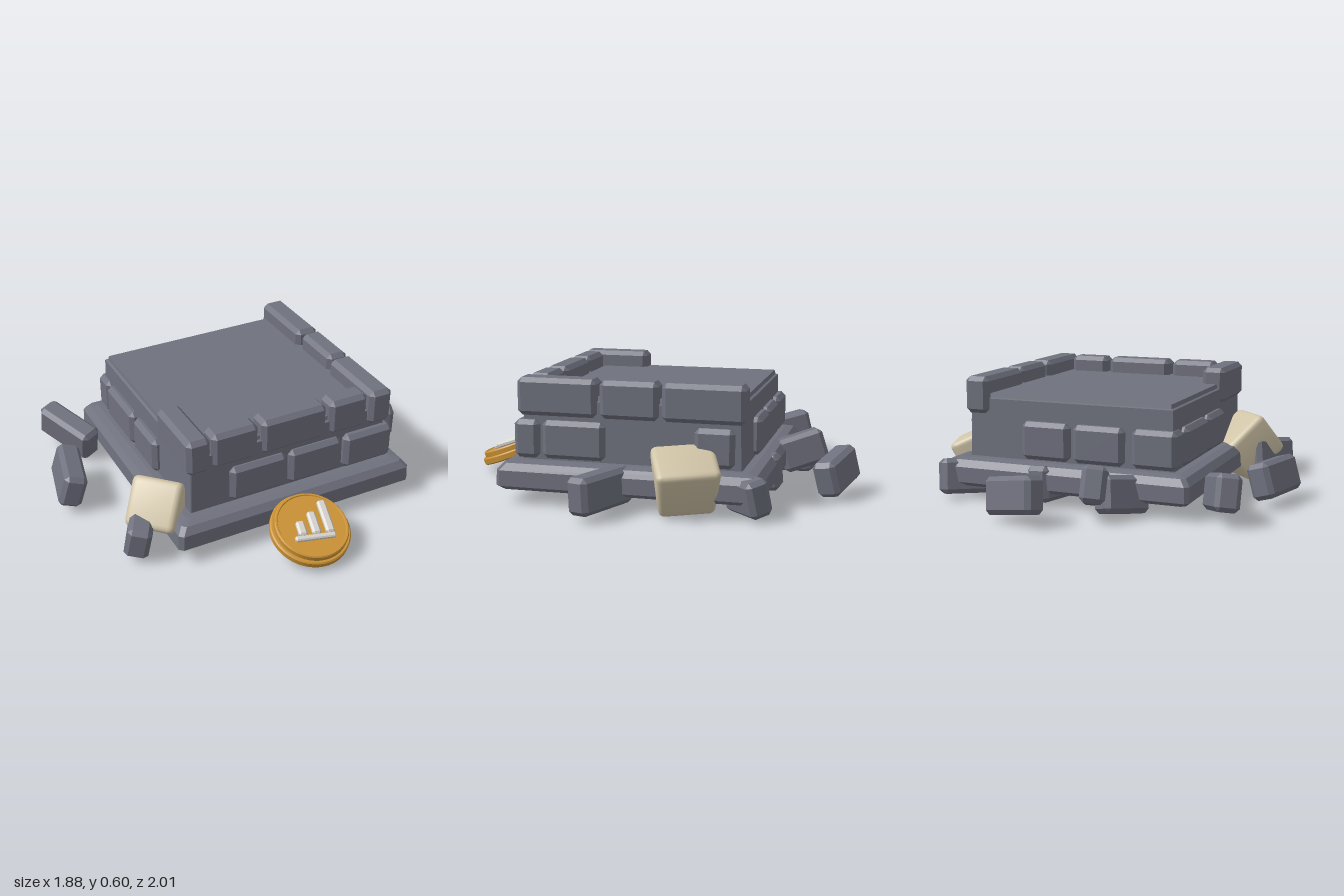
import * as THREE from 'three';
import { mergeVertices, toCreasedNormals } from 'three/addons/utils/BufferGeometryUtils.js';
import { RoundedBoxGeometry } from 'three/addons/geometries/RoundedBoxGeometry.js';
import { ConvexGeometry } from 'three/addons/geometries/ConvexGeometry.js';

const material = (name, color) => {
  const m = new THREE.MeshStandardMaterial({ color });
  m.name = name;
  return m;
};

// Box with single flat cuts along edges and corners
function chamferBox(w, h, d, r = 0.022) {
  const points = [];
  const x = w / 2, y = h / 2, z = d / 2;
  for (const sx of [-1, 1]) for (const sy of [-1, 1]) for (const sz of [-1, 1]) {
    points.push(
      new THREE.Vector3(sx * x, sy * (y - r), sz * (z - r)),
      new THREE.Vector3(sx * (x - r), sy * y, sz * (z - r)),
      new THREE.Vector3(sx * (x - r), sy * (y - r), sz * z),
    );
  }
  return new ConvexGeometry(points);
}

// Stack of squares with cut corners, each row [inset, y]; flat faces
function squareStack(cx, cz, half, cut, rows) {
  // sign of x and z, and which of the two is shortened by the cut
  const corners = [
    [-1, 1, 0, 1], [-1, 1, 1, 0], [1, 1, 1, 0], [1, 1, 0, 1],
    [1, -1, 0, 1], [1, -1, 1, 0], [-1, -1, 1, 0], [-1, -1, 0, 1],
  ];
  const pt = (i, j) => {
    const [inset, y] = rows[i], [sx, sz, kx, kz] = corners[j % 8];
    const size = (k) => Math.max(0, half - inset - k * cut);
    return [cx + sx * size(kx), y, cz + sz * size(kz)];
  };
  const pos = [];
  for (let i = 0; i < rows.length - 1; i++) {
    for (let j = 0; j < 8; j++) {
      const a = pt(i, j), b = pt(i, j + 1), c = pt(i + 1, j + 1), d = pt(i + 1, j);
      pos.push(...a, ...b, ...c, ...a, ...c, ...d);
    }
  }
  const g = new THREE.BufferGeometry();
  g.setAttribute('position', new THREE.Float32BufferAttribute(pos, 3));
  g.computeVertexNormals();
  return g;
}

// Soft-edged boulder, narrowed towards its base
function boulder(w, h, d, taper) {
  const g = new RoundedBoxGeometry(w, h, d, 2, 0.03);
  g.deleteAttribute('uv');
  g.deleteAttribute('normal');
  const p = g.attributes.position;
  for (let i = 0; i < p.count; i++) {
    const k = 1 + taper * p.getY(i);
    p.setXYZ(i, p.getX(i) * k, p.getY(i), p.getZ(i) * k);
  }
  return toCreasedNormals(mergeVertices(g, 1e-4), 0.5);
}

const lathe = (points) => toCreasedNormals(
  new THREE.LatheGeometry(points.map(([x, y]) => new THREE.Vector2(x, y)), 48), 0.5);

export function createModel() {
  const model = new THREE.Group();
  model.name = 'ruinedPedestal';
  const slate = material('slate', 0x6f717e);
  const sand = material('sandstone', 0xcfc3a6);
  const gold = material('gold', 0xcc9335);
  const darkGold = material('darkGold', 0x644610);
  const silver = material('silver', 0xd8d5cf);

  const add = (parent, name, geometry, mat, pos = [0, 0, 0], rot = [0, 0, 0]) => {
    const m = new THREE.Mesh(geometry, mat);
    m.name = name;
    m.position.set(...pos);
    m.rotation.set(...rot, 'YXZ');
    parent.add(m);
  };

  // Plinth frame, hollow underneath
  add(model, 'plinth', squareStack(0.07, 0.02, 0.64, 0.02, [
    [0.64, 0.12], [0.11, 0.12], [0.075, 0.08], [0.025, 0.08], [0, 0.1],
    [0.003, 0.175], [0.03, 0.208], [0.07, 0.217], [0.64, 0.217],
  ]), slate);

  // Core with a slightly smaller top step
  add(model, 'core', squareStack(0.07, 0.02, 0.535, 0.004, [
    [0, 0.2], [0.008, 0.505], [0.02, 0.51], [0.024, 0.53], [0.535, 0.53],
  ]), slate);

  // Wall bricks as extents [x0, x1, z0, z1] for each course
  const courses = [
    ['upperBrick', 0.43, 0.612, [
      [-0.48, -0.36, 0.21, 0.57], [-0.35, -0.11, 0.45, 0.565], [-0.09, 0.26, 0.445, 0.565],
      [0.28, 0.49, 0.45, 0.565], [0.5, 0.625, 0.18, 0.575], [0.51, 0.625, -0.12, 0.165],
      [0.5, 0.625, -0.53, -0.135],
    ]],
    ['lowerBrick', 0.225, 0.41, [
      [-0.26, 0.04, 0.46, 0.58], [0.055, 0.345, 0.46, 0.58], [0.36, 0.635, 0.465, 0.59],
      [0.51, 0.63, 0.14, 0.45], [0.51, 0.63, -0.48, -0.29],
      [-0.485, -0.26, -0.55, -0.42], [-0.22, 0.04, -0.55, -0.43], [0.06, 0.31, -0.55, -0.43],
      [-0.495, -0.38, -0.41, -0.08], [-0.495, -0.38, -0.06, 0.2],
    ]],
  ];
  for (const [name, y0, y1, bricks] of courses) {
    for (const [x0, x1, z0, z1] of bricks) {
      add(model, name, chamferBox(x1 - x0, y1 - y0, z1 - z0), slate,
        [(x0 + x1) / 2, (y0 + y1) / 2, (z0 + z1) / 2]);
    }
  }

  // Fallen bricks: position, length, then pitch, heading and roll
  const fallen = [
    [[0.165, 0.14, -0.9], 0.29, [0.18, -0.33, -0.17]],
    [[-0.69, 0.14, -0.495], 0.34, [0.12, -1.12, -0.22]],
    [[-0.835, 0.14, -0.1], 0.33, [0.3, 1.36, 0.02]],
    [[-0.14, 0.165, -0.69], 0.24, [0.1, -1.25, -0.3]],
    [[-0.25, 0.12, -0.63], 0.25, [0.25, 1.03, 0.15]],
    [[0.625, 0.115, -0.54], 0.25, [0.2, 0.75, 0.05]],
    [[0.765, 0.13, 0.115], 0.35, [0.05, -0.39, 0]],
    [[-0.675, 0.135, 0.44], 0.28, [0.2, 1.08, 0.1]],
    [[0.18, 0.115, -0.49], 0.28, [0.05, 1.5, 0.08]],
    [[0.05, 0.135, 0.48], 0.27, [0.1, 0.15, 0.06]],
    [[0.2, 0.13, 0.45], 0.2, [0.1, 1.2, 0.1]],
  ];
  for (const [pos, length, rot] of fallen) {
    add(model, 'fallenBrick', chamferBox(length, 0.175, 0.118), slate, pos, rot);
  }

  // Sandstone boulders
  add(model, 'rightBoulder', boulder(0.24, 0.25, 0.28, 0.6), sand, [0.668, 0.173, -0.26], [0.04, 0.38, -0.42]);
  add(model, 'leftBoulder', boulder(0.25, 0.245, 0.275, 0.1), sand, [-0.55, 0.185, 0.4], [-0.7, -0.78, 0]);

  // Leaning coin with a stepped edge and hollow back
  const coin = new THREE.Group();
  coin.name = 'coin';
  coin.position.set(0.035, 0.103, 0.806);
  coin.rotation.x = 0.36;
  model.add(coin);
  add(coin, 'coinDisc', lathe([
    [0.166, 0.02], [0.166, 0.003], [0.17, 0], [0.19, 0], [0.196, 0.006], [0.196, 0.032], [0.19, 0.038],
    [0.18, 0.038], [0.18, 0.062], [0.175, 0.068], [0.168, 0.068], [0.165, 0.063], [0, 0.063],
  ]), gold);
  add(coin, 'coinBack', lathe([[0, 0.02], [0.166, 0.02]]), darkGold);

  // Raised bars on the coin face
  const relief = new THREE.Group();
  relief.name = 'coinRelief';
  relief.rotation.y = -0.2;
  coin.add(relief);
  add(relief, 'reliefBase', chamferBox(0.2, 0.024, 0.026, 0.006), silver, [-0.005, 0.072, 0.072]);
  [[-0.062, 0.078], [0.006, 0.123], [0.074, 0.178]].forEach(([x, length]) => {
    add(relief, 'reliefBar', chamferBox(0.042, 0.03, length, 0.009), silver, [x, 0.075, 0.06 - length / 2]);
  });

  return model;
}
